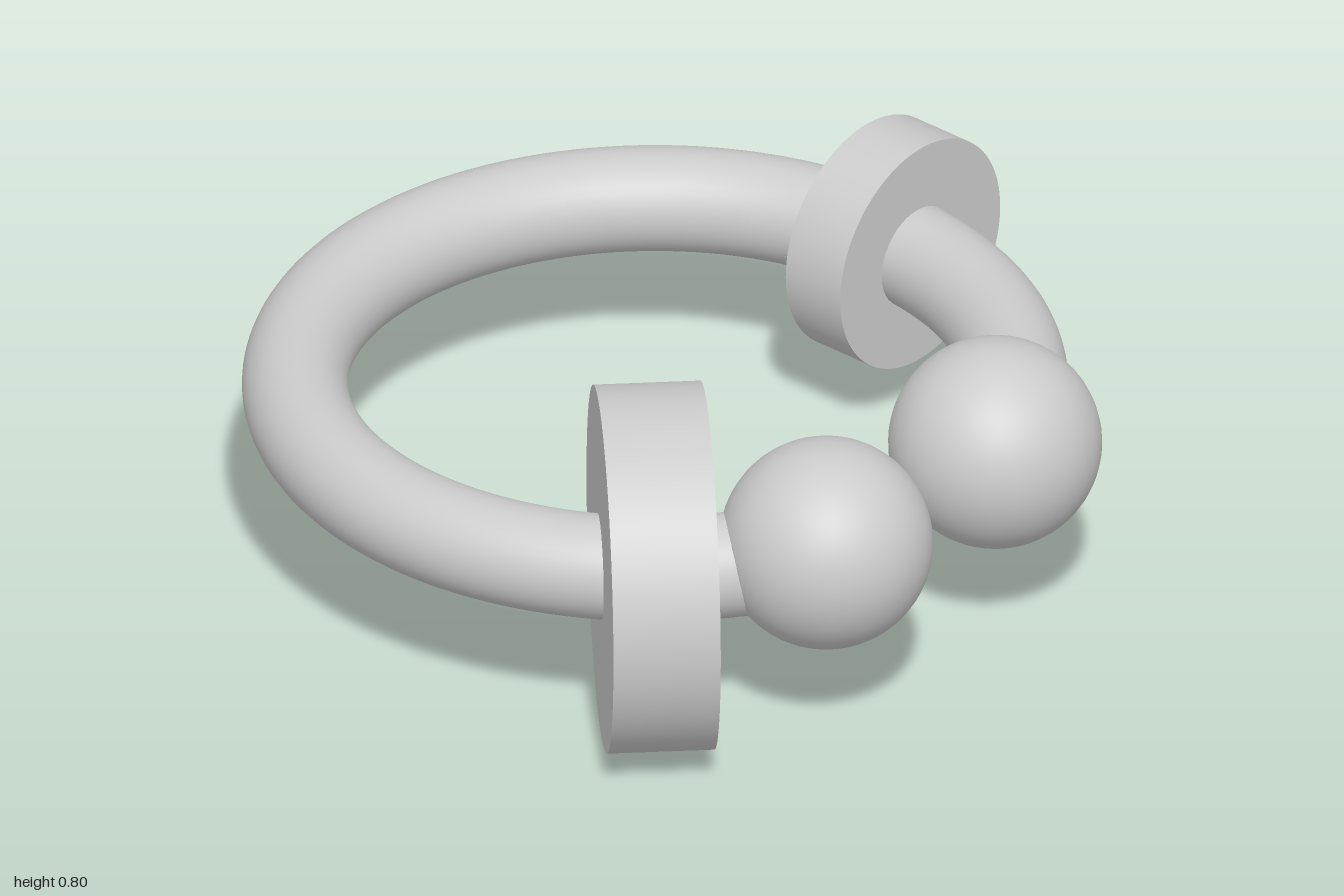
import * as THREE from 'three';

export function createModel() {
  const group = new THREE.Group();
  const material = new THREE.MeshStandardMaterial({ color: 0xcccccc });

  const add = (name, geometry, x, y, z) => {
    const mesh = new THREE.Mesh(geometry, material);
    mesh.name = name;
    mesh.position.set(x, y, z);
    group.add(mesh);
    return mesh;
  };

  // Open ring lying flat, its gap facing the front and its ends buried in the balls
  const halfGap = THREE.MathUtils.degToRad(20);
  const ring = new THREE.TorusGeometry(0.78, 0.115, 40, 120, 2 * Math.PI - 2 * halfGap)
    .rotateZ(Math.PI / 2 + halfGap)
    .rotateX(Math.PI / 2);
  add('ring', ring, -0.053, 0.405, -0.053);

  // Balls closing the two ends
  const ball = new THREE.SphereGeometry(0.232, 48, 32);
  add('rightEndBall', ball, -0.37, 0.446, 0.71);
  add('leftEndBall', ball, 0.19, 0.446, 0.71);

  // Discs threaded on the ring, each with its axis along the ring there
  const disc = (radius, thickness) =>
    new THREE.CylinderGeometry(radius, radius, thickness, 96).rotateX(Math.PI / 2);
  add('smallDisc', disc(0.265, 0.156), 0.735, 0.405, -0.053);
  add('largeDisc', disc(0.4, 0.233), -0.637, 0.402, 0.447).rotation.y = Math.PI / 4;

  return group;
}
